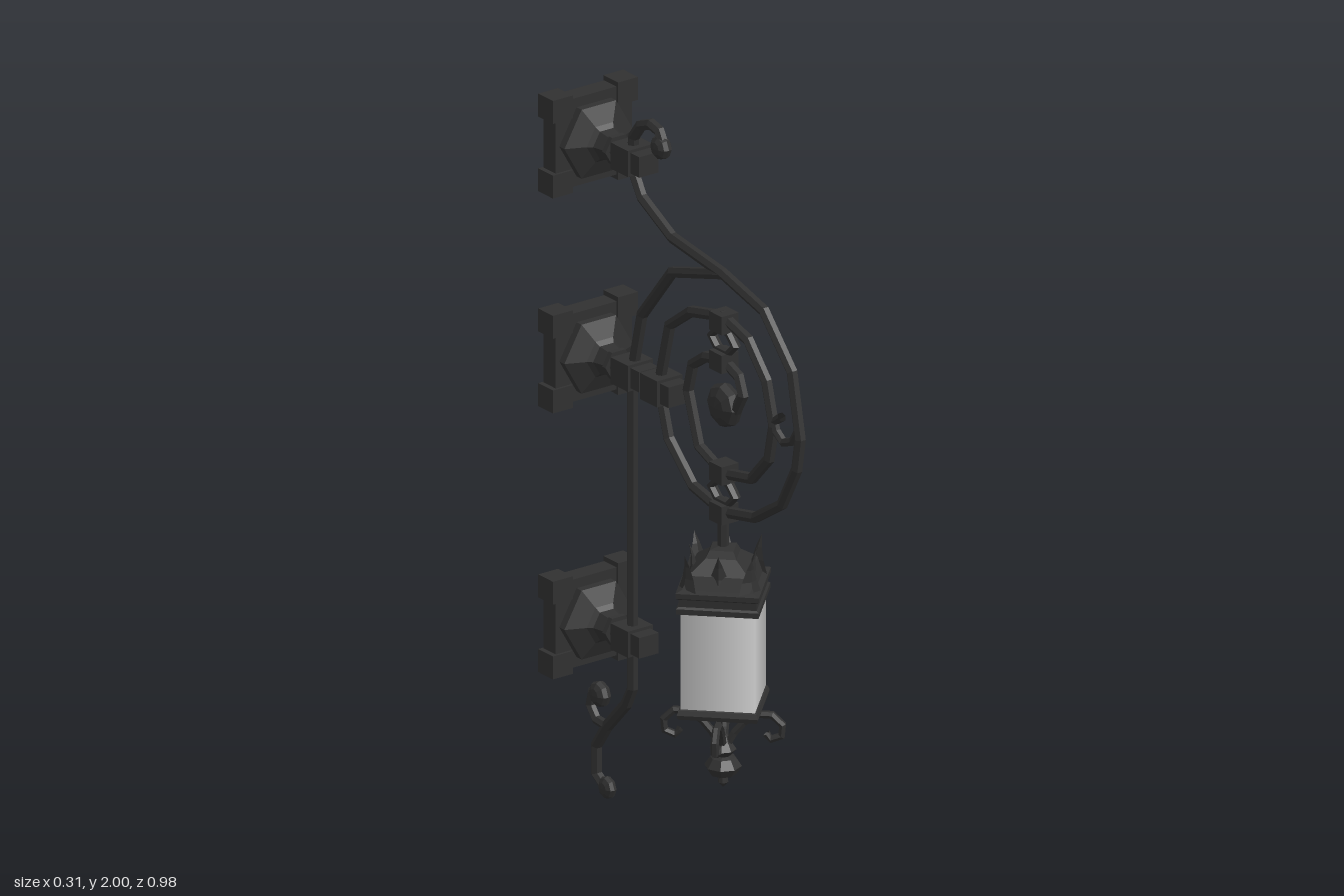
import * as THREE from 'three';

const iron = new THREE.MeshStandardMaterial({ color: 0x303030, flatShading: true, side: THREE.DoubleSide });
const glassMat = new THREE.MeshStandardMaterial({ color: 0xcccccc });

// Curve through [z, y] points in the x = 0 plane, keeping its straight facets
class Facets extends THREE.Curve {
  constructor(pts) {
    super();
    this.pts = pts.map(([z, y]) => new THREE.Vector3(0, y, z));
  }
  getPoint(t, target = new THREE.Vector3()) {
    const n = this.pts.length - 1;
    const i = Math.min(Math.floor(t * n + 1e-9), n - 1);
    return target.lerpVectors(this.pts[i], this.pts[i + 1], t * n - i);
  }
  getPointAt(t, target) { return this.getPoint(t, target); }
  getTangentAt(t, target) { return this.getTangent(t, target); }
}

function add(parent, name, geometry, x = 0, y = 0, z = 0, material = iron) {
  const mesh = new THREE.Mesh(geometry, material);
  mesh.name = name;
  mesh.position.set(x, y, z);
  parent.add(mesh);
  return mesh;
}

const bar = (parent, name, pts, r = 0.016) =>
  add(parent, name, new THREE.TubeGeometry(new Facets(pts), pts.length - 1, r, 6));

const box = (parent, name, w, h, d, y, z, x = 0) =>
  add(parent, name, new THREE.BoxGeometry(w, h, d), x, y, z);

const lathe = (pts, sides, start = 0) =>
  new THREE.LatheGeometry(pts.map(p => new THREE.Vector2(...p)), sides, start);

// Flattened ball that ends a scroll
function knob(parent, name, r, halfWidth, y, z) {
  add(parent, name, new THREE.SphereGeometry(r, 8, 6).rotateZ(Math.PI / 2), 0, y, z).scale.x = halfWidth / r;
}

// Square clamp with a smaller nose in front
function clamp(parent, y, z) {
  box(parent, 'clamp', 0.083, 0.074, 0.075, y, z);
  box(parent, 'clampNose', 0.064, 0.058, 0.04, y, z + 0.055);
}

// Square wall plate with corner blocks and a six-sided socket
function wallMount(parent, y) {
  const g = new THREE.Group();
  g.name = 'wallMount';
  g.position.y = y;
  parent.add(g);
  box(g, 'wallPlate', 0.25, 0.25, 0.054, 0, -0.459);
  for (const sx of [-1, 1]) for (const sy of [-1, 1])
    box(g, 'cornerBlock', 0.065, 0.065, 0.065, sy * 0.106, -0.457, sx * 0.107);
  const profile = [[0.113, -0.435], [0.113, -0.41], [0.058, -0.386], [0.045, -0.375], [0.036, -0.337],
    [0.044, -0.337], [0.044, -0.322], [0.031, -0.322], [0.031, -0.29]];
  add(g, 'socket', lathe(profile, 6, Math.PI / 2).rotateX(Math.PI / 2));
  clamp(g, 0, -0.265);
}

function scrollwork(parent) {
  const g = new THREE.Group();
  g.name = 'scrollwork';
  parent.add(g);
  // One long bar: top curl, outer ring, then spiralling inward
  bar(g, 'mainSpiral', [[-0.13, 1.945], [-0.145, 1.973], [-0.18, 1.981], [-0.225, 1.963], [-0.257, 1.92],
    [-0.262, 1.87], [-0.257, 1.82], [-0.22, 1.76], [-0.087, 1.69], [0.135, 1.66], [0.315, 1.613],
    [0.437, 1.48], [0.473, 1.3], [0.458, 1.21], [0.394, 1.09], [0.278, 1.015], [0.135, 0.985],
    [0.003, 1.015], [-0.103, 1.115], [-0.145, 1.253], [-0.098, 1.438], [-0.003, 1.508], [0.135, 1.54],
    [0.246, 1.507], [0.325, 1.417], [0.357, 1.3], [0.336, 1.2], [0.262, 1.12], [0.135, 1.094],
    [0.03, 1.137], [-0.018, 1.28], [0.003, 1.36], [0.06, 1.4], [0.135, 1.417], [0.204, 1.39],
    [0.222, 1.343], [0.19, 1.288]]);
  // Arch, post and foot
  bar(g, 'post', [[0.135, 1.66], [-0.087, 1.592], [-0.22, 1.428], [-0.262, 1.25], [-0.262, 0.352],
    [-0.288, 0.3], [-0.373, 0.209], [-0.42, 0.14], [-0.42, 0.06], [-0.375, 0.03]]);
  bar(g, 'footCurl', [[-0.373, 0.209], [-0.42, 0.213], [-0.447, 0.246], [-0.436, 0.288], [-0.405, 0.29]], 0.014);
  bar(g, 'sideCurl', [[0.468, 1.325], [0.442, 1.284], [0.4, 1.268], [0.368, 1.289], [0.362, 1.315],
    [0.392, 1.337]], 0.013);
  knob(g, 'topKnob', 0.035, 0.025, 1.93, -0.137);
  knob(g, 'footKnob', 0.032, 0.02, 0.035, -0.373);
  knob(g, 'curlKnob', 0.037, 0.025, 0.29, -0.405);
  knob(g, 'centreKnob', 0.063, 0.036, 1.29, 0.143);
  // Link from the middle mount to the spiral
  clamp(g, 1.25, -0.137);
  bar(g, 'link', [[-0.15, 1.25], [-0.25, 1.25]], 0.018);
  // Paired collars with a small ring between
  for (const [low, high] of [[1.417, 1.527], [0.987, 1.1]]) {
    for (const y of [low, high]) box(g, 'collar', 0.056, 0.052, 0.056, y, 0.138);
    const ring = new THREE.TorusGeometry(0.052, 0.014, 6, 6).rotateY(Math.PI / 2);
    add(g, 'collarRing', ring, 0, (low + high) / 2, 0.138).scale.y = 0.58;
  }
}

// Pointed leaf, curling outward at the tip
function leafGeometry() {
  const geo = new THREE.ConeGeometry(0.036, 0.1, 4, 3).translate(0, 0.05, 0);
  const p = geo.attributes.position;
  for (let i = 0; i < p.count; i++) {
    const t = p.getY(i) / 0.1;
    p.setZ(i, p.getZ(i) * 0.4 + 0.025 * t * t - 0.015 * t);
  }
  return geo;
}

function lantern(parent) {
  const g = new THREE.Group();
  g.name = 'lantern';
  g.position.z = 0.135;
  parent.add(g);
  add(g, 'hangingRod', new THREE.CylinderGeometry(0.015, 0.015, 0.14, 6), 0, 0.925, 0);
  // Four-sided body with its corners on the axes
  add(g, 'glass', new THREE.CylinderGeometry(0.14, 0.14, 0.295, 4), 0, 0.588, 0, glassMat);
  add(g, 'roof', lathe([[0.135, 0.727], [0.155, 0.73], [0.155, 0.745], [0.147, 0.75], [0.147, 0.77],
    [0.157, 0.775], [0.157, 0.789], [0.135, 0.795], [0.115, 0.83], [0.058, 0.865], [0.045, 0.885], [0, 0.892]], 4));
  add(g, 'bottomRim', lathe([[0.115, 0.44], [0.12, 0.43], [0.148, 0.43], [0.153, 0.442], [0.146, 0.455],
    [0.138, 0.458]], 4));
  // Crown leaves on the corners and on the faces
  for (let i = 0; i < 8; i++) {
    const a = i * Math.PI / 4;
    const r = i % 2 ? 0.08 : 0.117;
    add(g, 'crownLeaf', leafGeometry(), r * Math.sin(a), 0.79, r * Math.cos(a)).rotation.y = a;
  }
  // Four scrolls under the faces
  for (let i = 0; i < 4; i++) {
    bar(g, 'bottomScroll', [[0.008, 0.32], [0.03, 0.36], [0.055, 0.39], [0.09, 0.415], [0.13, 0.415],
      [0.158, 0.388], [0.155, 0.357], [0.127, 0.346], [0.115, 0.362]], 0.011).rotation.y = Math.PI / 4 + i * Math.PI / 2;
  }
  add(g, 'finial', lathe([[0, 0.203], [0.014, 0.218], [0.012, 0.234], [0.036, 0.242], [0.05, 0.265],
    [0.034, 0.289], [0.02, 0.294], [0.036, 0.312], [0.022, 0.333], [0.014, 0.35], [0, 0.36]], 8));
}

export function createModel() {
  const model = new THREE.Group();
  model.name = 'wallLantern';
  for (const y of [1.862, 1.252, 0.497]) wallMount(model, y);
  scrollwork(model);
  lantern(model);
  return model;
}
